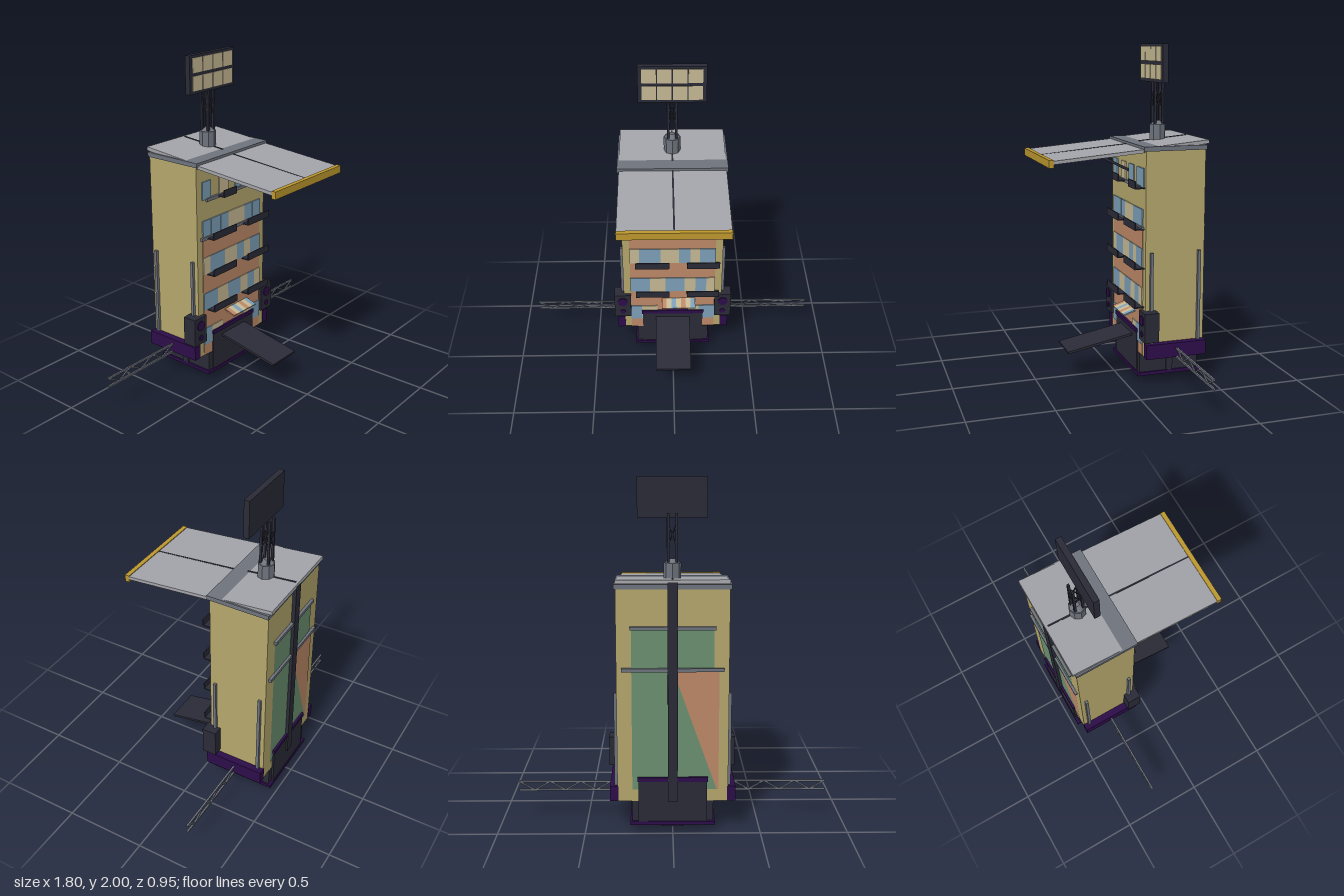
import * as THREE from 'three';

const mat = (name, color) => Object.assign(new THREE.MeshStandardMaterial({ color }), { name });

export function createModel() {
  const M = {
    wall: mat('mustard wall', 0xb5a76d), dark: mat('dark navy', 0x2b2b38), purple: mat('deep purple', 0x2d0d4a),
    roof: mat('light roof grey', 0xa3a4a9), steel: mat('steel grey', 0x6e737d), gold: mat('gold trim', 0xbd982f),
    blue: mat('window blue', 0x7c9fb8), beige: mat('lit beige', 0xc6ba94), orange: mat('mural orange', 0xbd8868),
    green: mat('mural green', 0x6a9070),
  };
  const root = new THREE.Group();
  const add = (name, geo, m) => {
    const mesh = new THREE.Mesh(geo, m);
    mesh.name = name;
    root.add(mesh);
    return mesh;
  };
  // box from its lower and upper limits on each axis
  const box = (name, m, x0, x1, y0, y1, z0, z1) => {
    const b = add(name, new THREE.BoxGeometry(x1 - x0, y1 - y0, z1 - z0), m);
    b.position.set((x0 + x1) / 2, (y0 + y1) / 2, (z0 + z1) / 2);
    return b;
  };
  // square bar between two points
  const bar = (name, m, a, b, t = 0.012, w = t) => {
    const p = new THREE.Vector3(...a), q = new THREE.Vector3(...b);
    const s = add(name, new THREE.BoxGeometry(w, t, p.distanceTo(q)), m);
    s.position.copy(p).add(q).multiplyScalar(0.5);
    s.lookAt(q);
    return s;
  };
  const FRONT = -0.09, BACK = -0.455, MID = -0.272;

  // tower body
  box('towerBody', M.wall, -0.315, 0.315, 0.18, 1.41, BACK, FRONT);
  box('frontMural', M.orange, -0.27, 0.27, 0.18, 0.94, FRONT, FRONT + 0.003);

  // back mural: diagonal split of green and orange
  const patch = (name, m, pts) => {
    const g = new THREE.ShapeGeometry(new THREE.Shape(pts.map(p => new THREE.Vector2(-p[0], p[1]))));
    const p = add(name, g, m);
    p.rotation.y = Math.PI;
    p.position.z = BACK - 0.003;
    m.side = THREE.DoubleSide;
  };
  patch('backMuralGreen', M.green, [[0.23, 0.25], [0.23, 1.18], [-0.23, 1.18], [-0.23, 0.95], [0, 0.95], [-0.25, 0.25]]);
  patch('backMuralOrange', M.orange, [[0, 0.95], [-0.26, 0.95], [-0.26, 0.25], [-0.25, 0.25]]);

  // windows: [x start, x end, colour] for each floor
  const floors = [
    [1.19, [[-0.27, -0.195, 'blue'], [-0.12, -0.035, 'beige'], [0.03, 0.115, 'blue'], [0.175, 0.29, 'blue']]],
    [0.95, [[-0.27, -0.2, 'blue'], [-0.195, -0.115, 'blue'], [-0.11, -0.04, 'blue'], [-0.04, 0.115, 'beige'],
      [0.115, 0.19, 'blue'], [0.195, 0.27, 'blue']]],
    [0.717, [[-0.27, -0.21, 'beige'], [-0.21, -0.075, 'blue'], [-0.075, 0.04, 'beige'], [0.04, 0.112, 'blue'],
      [0.112, 0.17, 'beige'], [0.17, 0.27, 'blue']]],
    [0.484, [[-0.27, -0.145, 'blue'], [-0.145, -0.045, 'beige'], [-0.045, 0.075, 'blue'], [0.075, 0.145, 'beige'],
      [0.145, 0.215, 'blue'], [0.215, 0.27, 'beige']]],
    [0.251, [[-0.27, -0.2, 'blue'], [-0.2, -0.1, 'beige'], [0.1, 0.17, 'beige'], [0.17, 0.27, 'blue']]],
  ];
  floors.forEach(([y, panes], i) => {
    for (const [a, b, c] of panes) box('window', M[c], a, b, y, y + 0.11, FRONT, FRONT + 0.008);
    if (i === 4) return;
    // open-sided balconies
    const spans = i === 0 ? [[-0.137, -0.02], [0.175, 0.295]] : [[-0.235, -0.02], [0.09, 0.295]];
    for (const [a, b] of spans) {
      box('balconyFloor', M.dark, a, b, y - 0.007, y, FRONT, -0.03);
      box('balconyRail', M.dark, a, b, y - 0.007, y + 0.038, -0.037, -0.03);
    }
  });

  // ledges across the front and back
  for (const [y, w] of [[1.185, 0.238], [0.95, 0.287]]) {
    box('frontLedge', M.steel, -w, w, y - 0.01, y + 0.01, FRONT, FRONT + 0.015);
    box('backLedge', M.steel, -w, w, y - 0.01, y + 0.01, BACK - 0.017, BACK);
  }
  box('backColumn', M.dark, -0.028, 0.028, 0.18, 1.44, BACK - 0.022, BACK);

  // roof slab, sloping rear panel and long front awning
  box('roofSlab', M.steel, -0.325, 0.325, 1.4, 1.427, BACK - 0.005, -0.075);
  bar('rearRoofPanel', M.roof, [0, 1.444, -0.475], [0, 1.408, -0.08], 0.022, 0.63);
  bar('rearRoofSeam', M.dark, [0, 1.446, -0.458], [0, 1.418, -0.155], 0.022, 0.01);
  bar('awning', M.roof, [0, 1.402, -0.08], [0, 1.356, 0.455], 0.02, 0.63);
  bar('awningSeam', M.dark, [0, 1.396, -0.08], [0, 1.349, 0.446], 0.037, 0.01);
  box('awningTrim', M.gold, -0.316, 0.316, 1.328, 1.372, 0.448, 0.475);
  bar('awningStrut', M.dark, [0, 1.255, FRONT], [0, 1.345, 0.09], 0.016);

  // mast: eight-sided socket, four legs and cross braces
  const socket = add('mastSocket', new THREE.CylinderGeometry(0.05, 0.05, 0.1, 8).toNonIndexed(), M.steel);
  socket.geometry.computeVertexNormals();
  socket.position.set(0, 1.475, MID);
  const cap = add('mastCap', new THREE.CylinderGeometry(0.015, 0.045, 0.022, 8).toNonIndexed(), M.steel);
  cap.geometry.computeVertexNormals();
  cap.position.set(0, 1.536, MID);
  const r = 0.024;
  for (let i = 0; i < 4; i++) {
    const corner = k => {
      const a = (k + 0.5) * Math.PI / 2;
      return [Math.SQRT2 * r * Math.cos(a), MID + Math.SQRT2 * r * Math.sin(a)];
    };
    const [ax, az] = corner(i), [bx, bz] = corner(i + 1);
    box('mastLeg', M.dark, ax - 0.007, ax + 0.007, 1.51, 1.8, az - 0.007, az + 0.007);
    bar('mastBrace', M.dark, [ax, 1.62, az], [bx, 1.74, bz], 0.006);
    bar('mastBrace', M.dark, [ax, 1.74, az], [bx, 1.62, bz], 0.006);
  }

  // display board with a grid of lit panels
  box('displayBoard', M.dark, -0.197, 0.197, 1.775, 2, -0.264, -0.23);
  for (let c = 0; c < 4; c++) for (let j = 0; j < 2; j++) {
    const x = -0.133 + c * 0.0887, y = 1.836 + j * 0.105;
    box('displayPanel', M.beige, x - 0.041, x + 0.041, y - 0.043, y + 0.043, -0.23, -0.226);
  }

  // base block, trims and octagonal foot
  box('baseBlock', M.dark, -0.232, 0.232, 0.05, 0.18, BACK, -0.085);
  box('baseTrim', M.purple, -0.243, 0.243, 0.04, 0.06, BACK - 0.018, -0.073);
  const foot = add('foot', new THREE.CylinderGeometry(0.137, 0.137, 0.045, 8).toNonIndexed(), M.dark);
  foot.geometry.computeVertexNormals();
  foot.rotation.y = Math.PI / 8;
  foot.position.set(0, 0.0225, MID);
  for (const [z0, z1] of [[FRONT, -0.079], [BACK - 0.012, BACK]]) {
    box('doorPanel', M.dark, -0.195, 0.195, 0.06, 0.3, z0, z1);
    box('doorTrim', M.purple, -0.2, 0.2, 0.3, 0.325, z0 - 0.006, z1 + 0.006);
  }
  bar('ramp', M.dark, [0, 0.262, -0.085], [0, 0.183, 0.322], 0.014, 0.22);

  // small tilted striped canopy
  const stripes = ['orange', 'beige', 'blue', 'beige', 'orange', 'beige', 'blue'];
  stripes.forEach((c, i) => {
    const x = -0.07 + (i + 0.5) * 0.0307;
    bar('canopyStripe', M[c], [x, 0.42, -0.088], [x, 0.395, -0.015], 0.008, 0.0307);
  });

  // paired side parts
  for (const s of [-1, 1]) {
    const sideBox = (name, m, x0, x1, ...rest) => box(name, m, Math.min(s * x0, s * x1), Math.max(s * x0, s * x1), ...rest);
    sideBox('sideSkirt', M.purple, 0.31, 0.358, 0.18, 0.267, BACK - 0.003, -0.085);
    sideBox('baseBracket', M.dark, 0.23, 0.242, 0.06, 0.18, -0.292, -0.252);
    for (const z of [-0.125, -0.42]) sideBox('drainPipe', M.steel, 0.312, 0.332, 0.26, 0.81, z - 0.009, z + 0.009);

    // speaker with two round cones
    sideBox('speaker', M.dark, 0.27, 0.376, 0.287, 0.463, -0.155, -0.067);
    for (const [y, rad] of [[0.41, 0.031], [0.33, 0.017]]) {
      const cone = add('speakerCone', new THREE.CylinderGeometry(rad, rad, 0.008, 16), M.purple);
      cone.rotation.x = Math.PI / 2;
      cone.position.set(s * 0.323, y, -0.065);
    }

    // side truss with zigzag web
    for (const y of [0.181, 0.232]) bar('trussChord', M.steel, [s * 0.33, y, -0.275], [s * 0.9, y, -0.275], 0.011);
    for (let i = 0; i < 6; i++) {
      const yAt = k => (k % 2 ? 0.181 : 0.232);
      bar('trussWeb', M.steel, [s * (0.36 + i * 0.09), yAt(i), -0.275], [s * (0.45 + i * 0.09), yAt(i + 1), -0.275], 0.008);
    }
  }
  return root;
}
